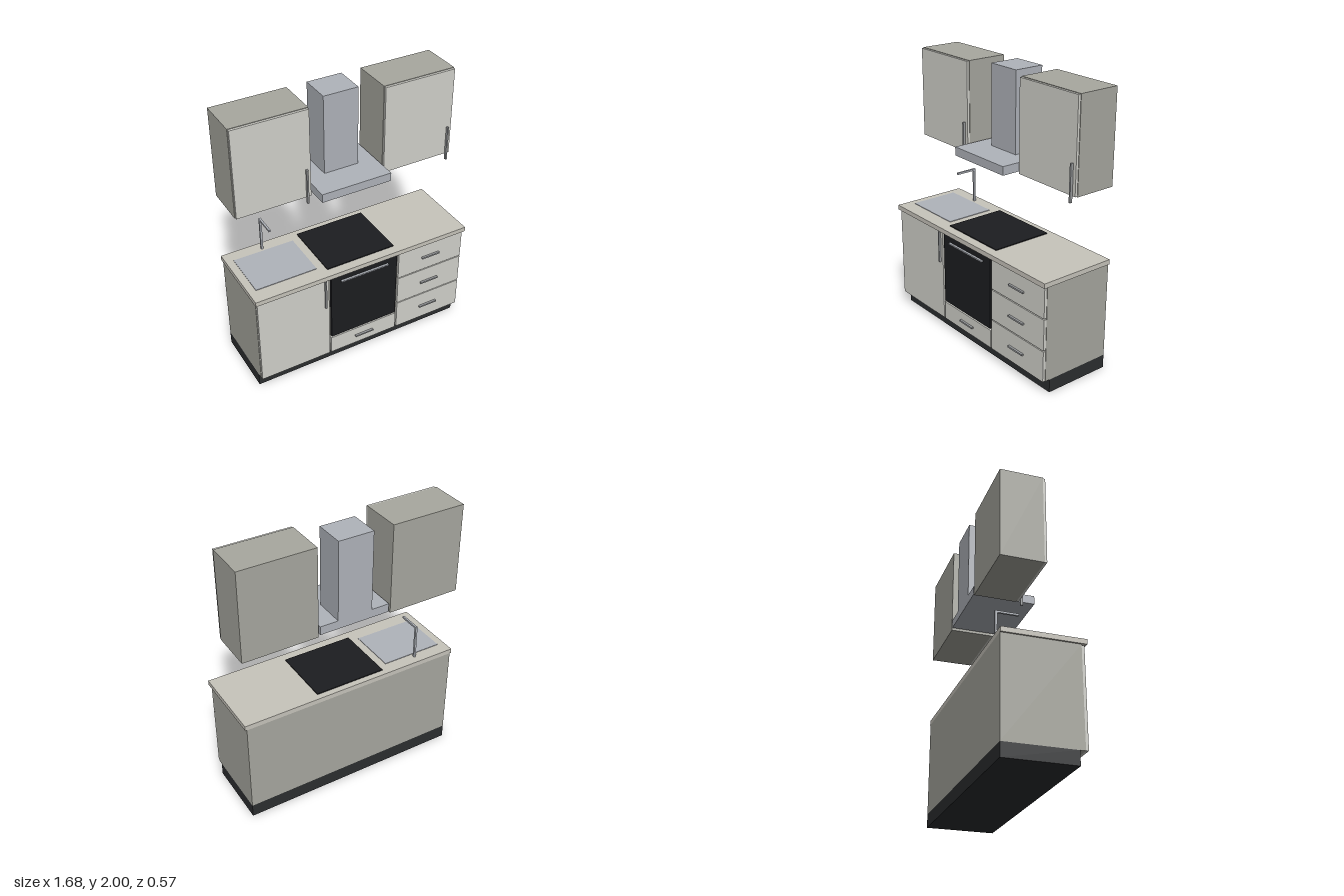
import * as THREE from 'three';

const mat = (color) => new THREE.MeshStandardMaterial({ color });

export function createModel() {
  const kitchen = new THREE.Group();
  kitchen.name = 'kitchen';
  const body = mat(0xa8a8a0), front = mat(0xd2d2cc), stone = mat(0xc8c5bc);
  const steel = mat(0xb0b4bb), handleSteel = mat(0x9a9c9e);
  const black = mat(0x1c1d20), plinthGrey = mat(0x2c2e30);

  // Box given by its extents along each axis
  function box(name, material, [x0, x1], [y0, y1], [z0, z1]) {
    const mesh = new THREE.Mesh(new THREE.BoxGeometry(x1 - x0, y1 - y0, z1 - z0), material);
    mesh.position.set((x0 + x1) / 2, (y0 + y1) / 2, (z0 + z1) / 2);
    mesh.name = name;
    kitchen.add(mesh);
    return mesh;
  }
  const BACK = -0.285, FACE = 0.27, HANDLE = [FACE, 0.286];

  // Base unit: plinth, carcass and worktop
  box('plinth', plinthGrey, [-0.826, 0.826], [0, 0.098], [BACK, 0.213]);
  box('baseCabinet', body, [-0.826, 0.826], [0.098, 0.795], [BACK, 0.25]);
  box('worktop', stone, [-0.838, 0.838], [0.795, 0.83], [BACK, 0.285]);

  // Sink cupboard door on the right
  box('baseDoor', front, [-0.823, -0.284], [0.1, 0.79], [0.25, FACE]);
  box('baseDoorHandle', handleSteel, [-0.318, -0.307], [0.55, 0.79], HANDLE);

  // Oven with a drawer below
  box('ovenFront', black, [-0.266, 0.266], [0.25, 0.79], [0.25, FACE]);
  box('ovenHandle', steel, [-0.19, 0.19], [0.735, 0.745], HANDLE);
  box('ovenDrawer', front, [-0.27, 0.27], [0.1, 0.238], [0.25, FACE]);
  box('ovenDrawerHandle', handleSteel, [-0.073, 0.073], [0.165, 0.176], HANDLE);

  // Stack of three drawers on the left
  for (const [y0, y1] of [[0.1, 0.326], [0.334, 0.56], [0.568, 0.79]]) {
    const y = (y0 + y1) / 2;
    box('drawerFront', front, [0.282, 0.823], [y0, y1], [0.25, FACE]);
    box('drawerHandle', handleSteel, [0.477, 0.625], [y - 0.006, y + 0.006], HANDLE);
  }

  // Hob, sink and tap
  box('hob', black, [-0.266, 0.266], [0.83, 0.837], [-0.24, 0.216]);
  box('sink', steel, [-0.783, -0.325], [0.83, 0.834], [-0.19, 0.172]);
  box('tapPost', steel, [-0.56, -0.545], [0.83, 1.09], [-0.229, -0.213]);
  box('tapSpout', steel, [-0.56, -0.545], [1.076, 1.09], [-0.213, -0.065]);

  // Wall cupboards
  for (const side of [-1, 1]) {
    const x = side * 0.552, h = x + 0.24;
    box('wallCabinet', body, [x - 0.275, x + 0.275], [1.34, 2], [BACK, 0.018]);
    box('wallDoor', front, [x - 0.271, x + 0.271], [1.344, 1.996], [0.018, 0.036]);
    box('wallDoorHandle', handleSteel, [h - 0.006, h + 0.006], [1.3, 1.56], [0.036, 0.055]);
  }

  // Extractor hood
  box('hood', steel, [-0.264, 0.264], [1.353, 1.416], [BACK, 0.158]);
  box('hoodChimney', steel, [-0.13, 0.13], [1.416, 2], [BACK, -0.058]);

  return kitchen;
}
